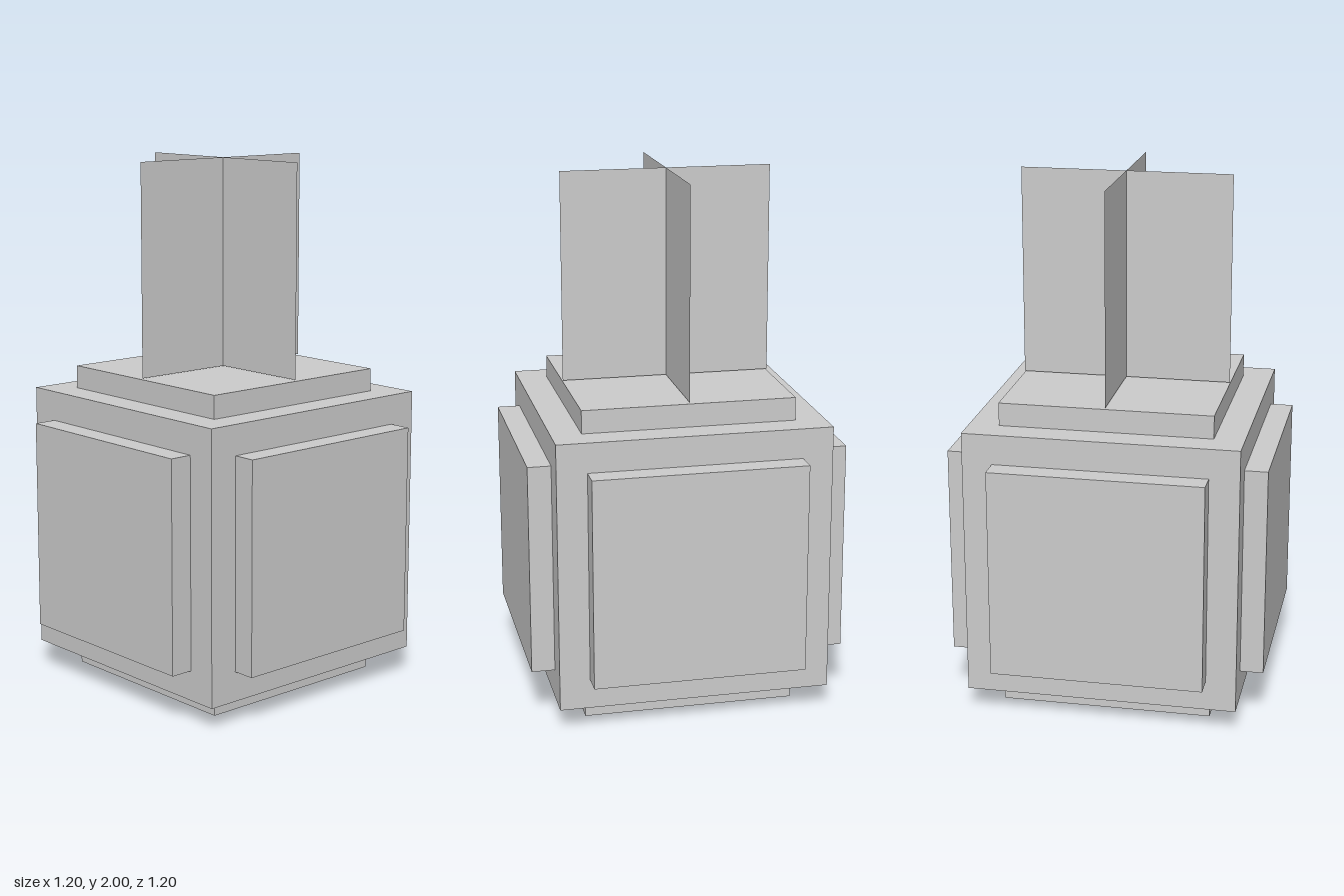
import * as THREE from 'three';

export function createModel() {
  const group = new THREE.Group();
  const grey = new THREE.MeshStandardMaterial({ color: 0xcccccc, flatShading: true });
  const thin = new THREE.MeshStandardMaterial({ color: 0xcccccc, flatShading: true, side: THREE.DoubleSide });
  const centreY = 0.6, reach = 0.6, core = 1.026, panel = 0.8;

  function add(name, geometry, material, x, y, z) {
    const mesh = new THREE.Mesh(geometry, material);
    mesh.name = name;
    mesh.position.set(x, y, z);
    group.add(mesh);
    return mesh;
  }

  // Cube body
  add('body', new THREE.BoxGeometry(core, core, core), grey, 0, centreY, 0);

  // One raised square panel on each face of the body
  const depth = reach - core / 2;
  const sides = {
    leftPanel: [1, 0, 0], rightPanel: [-1, 0, 0],
    topPanel: [0, 1, 0], bottomPanel: [0, -1, 0],
    frontPanel: [0, 0, 1], backPanel: [0, 0, -1],
  };
  for (const [name, dir] of Object.entries(sides)) {
    const size = dir.map((d) => (d ? depth : panel));
    const [x, y, z] = dir.map((d) => d * (reach - depth / 2));
    add(name, new THREE.BoxGeometry(...size), grey, x, centreY + y, z);
  }

  // Two crossed upright sheets on top
  const sheet = new THREE.PlaneGeometry(0.8, 0.795);
  add('crossSheetWide', sheet, thin, 0, 1.6025, 0);
  add('crossSheetDeep', sheet, thin, 0, 1.6025, 0).rotation.y = Math.PI / 2;

  return group;
}
